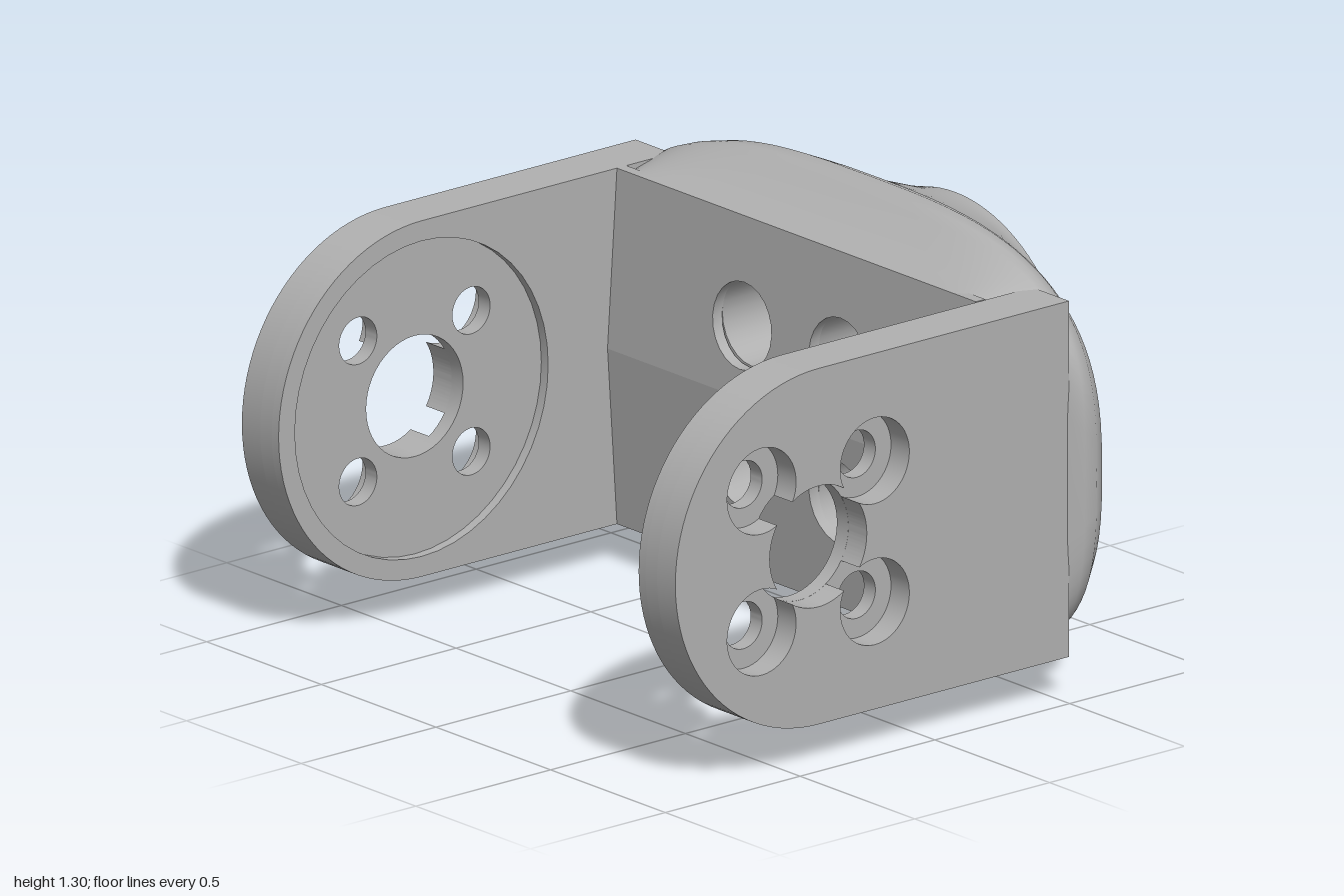
import * as THREE from 'three';
import { toCreasedNormals } from 'three/addons/utils/BufferGeometryUtils.js';

const CY = 0.65;            // height of the main axis
const HALF = 0.53;          // half height of arms, radius of round ends
const HOLE = 0.07, BORE = 0.128, HUB = 0.18, PITCH = 0.21;
const grey = new THREE.MeshStandardMaterial({ color: 0xb0b0b0 });
grey.name = 'plain grey';

const circle = (x, y, r) => new THREE.Path().absarc(x, y, r, 0, Math.PI * 2, false);
const disc = (r) => new THREE.Shape().absarc(0, 0, r, 0, Math.PI * 2, false);
const fourHoles = (r) => [[1, 1], [-1, 1], [-1, -1], [1, -1]].map(([i, j]) => circle(i * PITCH, j * PITCH, r));

function rect(x0, y0, x1, y1) {
  return new THREE.Shape([[x0, y0], [x1, y0], [x1, y1], [x0, y1]].map(([x, y]) => new THREE.Vector2(x, y)));
}

function extrude(shape, holes, depth, curveSegments = 12) {
  shape.holes.push(...holes);
  return new THREE.ExtrudeGeometry(shape, { depth, bevelEnabled: false, curveSegments });
}

function add(parent, name, geometry, x, y, z) {
  const mesh = new THREE.Mesh(toCreasedNormals(geometry, 0.5), grey);
  mesh.name = name;
  mesh.position.set(x, y, z);
  parent.add(mesh);
}

// Arm side outline: straight at the back, semicircle at the front (shape x = -z)
function armShape() {
  const s = new THREE.Shape();
  s.moveTo(0.93, -HALF);
  s.lineTo(0.93, HALF);
  s.lineTo(0, HALF);
  s.absarc(0, 0, HALF, Math.PI / 2, Math.PI * 1.5, false);
  return s;
}

// Hub hole joined with the four counterbores that cut into it
function cloverPath() {
  const D = PITCH * Math.SQRT2, p = new THREE.Path();
  const d = Math.acos((HUB * HUB + D * D - BORE * BORE) / (2 * HUB * D));
  const e = Math.acos((BORE * BORE + D * D - HUB * HUB) / (2 * BORE * D));
  for (let k = 0; k < 4; k++) {
    const a = Math.PI / 4 + k * Math.PI / 2;
    p.absarc(0, 0, HUB, a - Math.PI / 2 + d, a - d, false);
    p.absarc(D * Math.cos(a), D * Math.sin(a), BORE, a - Math.PI + e, a + Math.PI - e, false);
  }
  return p;
}

// Each arm: inner rim, drilled web and counterbored outer layer
function makeArm(side) {
  const arm = new THREE.Group();
  arm.name = side > 0 ? 'leftArm' : 'rightArm';
  const layers = [
    ['innerRim', 0.785, 0.03, [circle(0, 0, 0.47)]],
    ['drilledWeb', 0.815, 0.05, [circle(0, 0, HUB), ...fourHoles(HOLE)]],
    ['counterboredFace', 0.865, 0.08, [cloverPath()]],
  ];
  for (const [name, start, depth, holes] of layers) {
    const g = extrude(armShape(), holes, depth, 24).rotateY(Math.PI / 2);
    add(arm, name, g, (side > 0 ? start : -start - depth) + 0.005, CY, 0.39);
  }
  return arm;
}

// Body shell: superellipse sections blending from a rectangle to a circle
function bodyShell() {
  // z, half width, half height, exponent
  const sections = [
    [-0.335, 0.785, 0.53, 24], [-0.4, 0.83, 0.54, 12], [-0.46, 0.89, 0.567, 7],
    [-0.54, 0.955, 0.615, 4.5], [-0.57, 0.985, 0.637, 3.6], [-0.605, 0.995, 0.648, 3.1],
    [-0.65, 0.965, 0.63, 2.8], [-0.7, 0.9, 0.6, 2.6], [-0.79, 0.75, 0.562, 2.3],
    [-0.86, 0.6, 0.542, 2.1], [-0.9, 0.552, 0.534, 2], [-0.925, 0.53, 0.53, 2],
  ];
  const N = 96, pos = [], idx = [];
  const pw = (v, n) => Math.sign(v) * Math.pow(Math.abs(v), 2 / n);
  sections.forEach(([z, a, b, n], i) => {
    for (let j = 0; j < N; j++) {
      const t = j / N * Math.PI * 2;
      pos.push(a * pw(Math.cos(t), n), b * pw(Math.sin(t), n), z);
      if (i === sections.length - 1) continue;
      const p = i * N + j, q = i * N + (j + 1) % N;
      idx.push(p, p + N, q, q, p + N, q + N);
    }
  });
  const g = new THREE.BufferGeometry();
  g.setAttribute('position', new THREE.Float32BufferAttribute(pos, 3));
  g.setIndex(idx);
  g.computeVertexNormals();
  return g;
}

// Half of the inner face, sloping forward to a faint ridge on the centre line
function facePlate(side) {
  const shape = side > 0 ? rect(-0.785, 0, 0.785, HALF) : rect(-0.785, -HALF, 0.785, 0);
  const g = extrude(shape, [-1, 1].map((i) => circle(i * PITCH, side * PITCH, BORE)), 0.035);
  const p = g.attributes.position;
  for (let i = 0; i < p.count; i++) {
    p.setZ(i, p.getZ(i) + 0.035 * (1 - Math.abs(p.getY(i)) / HALF));
  }
  g.computeVertexNormals();
  return g;
}

export function createModel() {
  const model = new THREE.Group();
  model.name = 'bracket';
  model.add(makeArm(1), makeArm(-1));

  const body = new THREE.Group();
  body.name = 'body';
  model.add(body);
  const shell = new THREE.Mesh(bodyShell(), grey);
  shell.name = 'bodyShell';
  shell.position.y = CY;
  body.add(shell);

  // Inner face and the deep bores behind it
  add(body, 'upperFacePlate', facePlate(1), 0, CY, -0.37);
  add(body, 'lowerFacePlate', facePlate(-1), 0, CY, -0.37);
  add(body, 'boredCore', extrude(rect(-0.5, -0.4, 0.5, 0.4), fourHoles(BORE), 0.43), 0, CY, -0.78);

  // Back flange: raised rim, drilled floor and blind centre socket
  add(body, 'flangeRim', extrude(disc(HALF), [circle(0, 0, 0.475)], 0.04, 48), 0, CY, -0.925);
  add(body, 'flangeFloor', extrude(disc(0.48), [circle(0, 0, 0.165), ...fourHoles(HOLE)], 0.11, 24), 0, CY, -0.89);
  return model;
}
